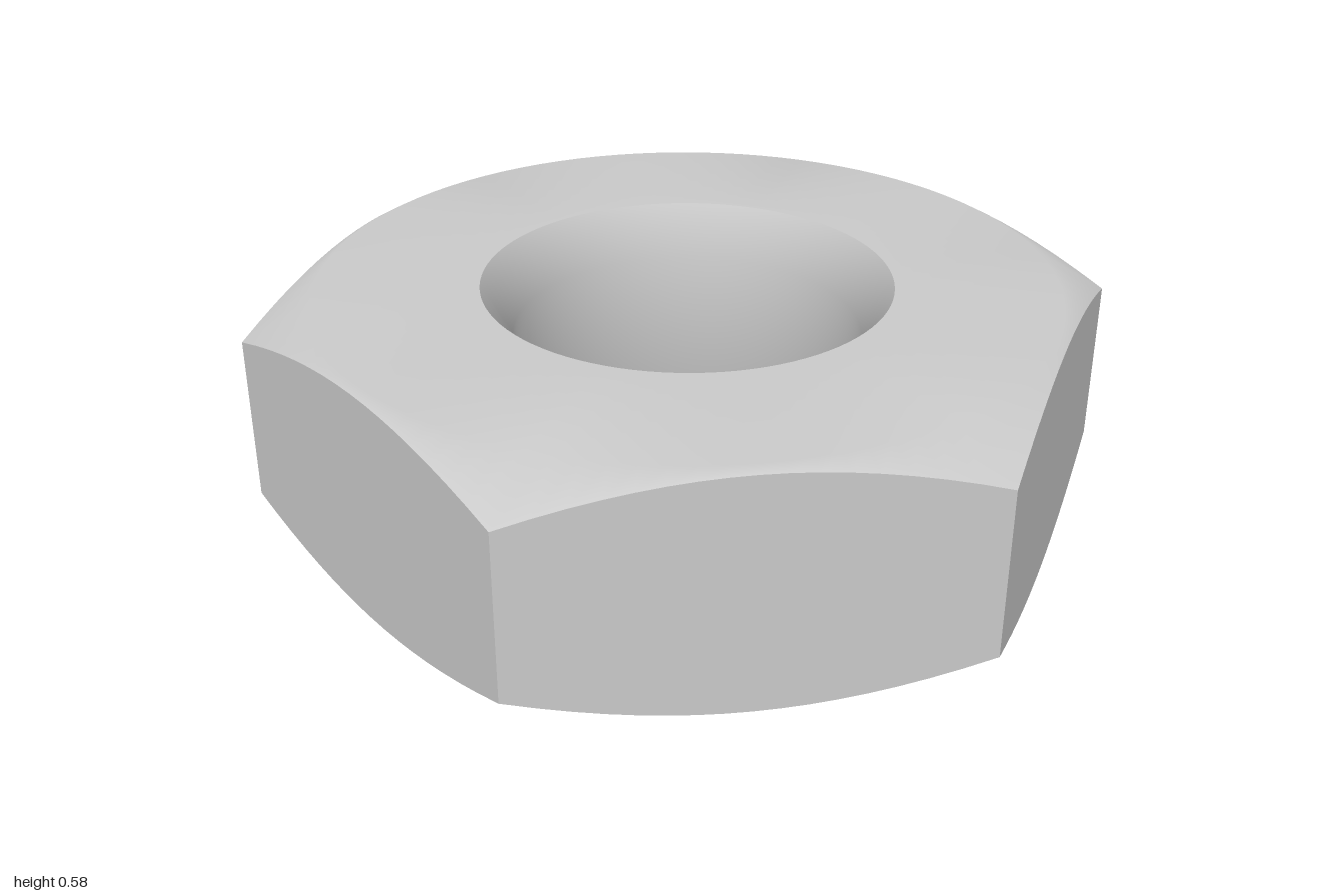
import * as THREE from 'three';

const N = 96;                      // segments around, a multiple of six
const HALF = 0.284;                // half thickness
const FLAT = Math.sqrt(3) / 2;     // centre to flat; corners are at radius 1
const CHAMFER_R = 0.845, BORE_R = 0.4, SINK_R = 0.47, SINK_DEPTH = 0.12;

// Hexagon radius at an angle measured from a corner on the z axis
function hexRadius(a) {
  const sixth = Math.PI / 3;
  return FLAT / Math.cos((a % sixth) - sixth / 2);
}

// Closed band through loops, each a function angle -> [radius, y].
// Loops that run upwards on the outside face outwards.
function band(loops, flat = false) {
  const pos = [], index = [], L = loops.length;
  for (let i = 0; i < N; i++) {
    const a = (i / N) * Math.PI * 2;
    for (const loop of loops) {
      const [r, y] = loop(a);
      pos.push(r * Math.sin(a), y, r * Math.cos(a));
    }
    for (let j = 0; j < L - 1; j++) {
      const p = L * i + j, q = L * ((i + 1) % N) + j;
      index.push(p, q + 1, p + 1, p, q, q + 1);
    }
  }
  let g = new THREE.BufferGeometry();
  g.setAttribute('position', new THREE.Float32BufferAttribute(pos, 3));
  g.setIndex(index);
  if (flat) g = g.toNonIndexed();
  g.computeVertexNormals();
  return g;
}

export function createModel() {
  const steel = new THREE.MeshStandardMaterial({ color: 0xcacaca });
  const nut = new THREE.Group();
  nut.name = 'hexNut';
  const add = (name, loops, flat) => {
    const mesh = new THREE.Mesh(band(loops, flat), steel);
    mesh.name = name;
    nut.add(mesh);
  };

  // Loops of the cross-section; s is 1 for the upper half, -1 for the lower
  const circle = (r, y) => () => [r, y];
  const sinkRim = (s) => circle(SINK_R, s * HALF);
  const faceRim = (s) => circle(CHAMFER_R, s * HALF);
  const boreRim = (s) => circle(BORE_R, s * (HALF - SINK_DEPTH));
  const hexEdge = (s) => (a) => {
    const r = hexRadius(a);
    return [r, s * (HALF - (r - CHAMFER_R) * Math.tan(Math.PI / 6))];
  };

  // End faces, softly blended into their 30 degree chamfers
  add('topFace', [hexEdge(1), faceRim(1), sinkRim(1)]);
  add('bottomFace', [sinkRim(-1), faceRim(-1), hexEdge(-1)]);

  // Six flat sides, and the bore with a countersink at each end
  add('hexSides', [hexEdge(-1), hexEdge(1)], true);
  add('bore', [sinkRim(1), boreRim(1), boreRim(-1), sinkRim(-1)]);

  // The nut sits with a very slight lean towards the front
  nut.rotation.x = 0.0065;
  nut.position.y = HALF + 0.0055;
  const model = new THREE.Group();
  model.name = 'nut';
  model.add(nut);
  return model;
}
